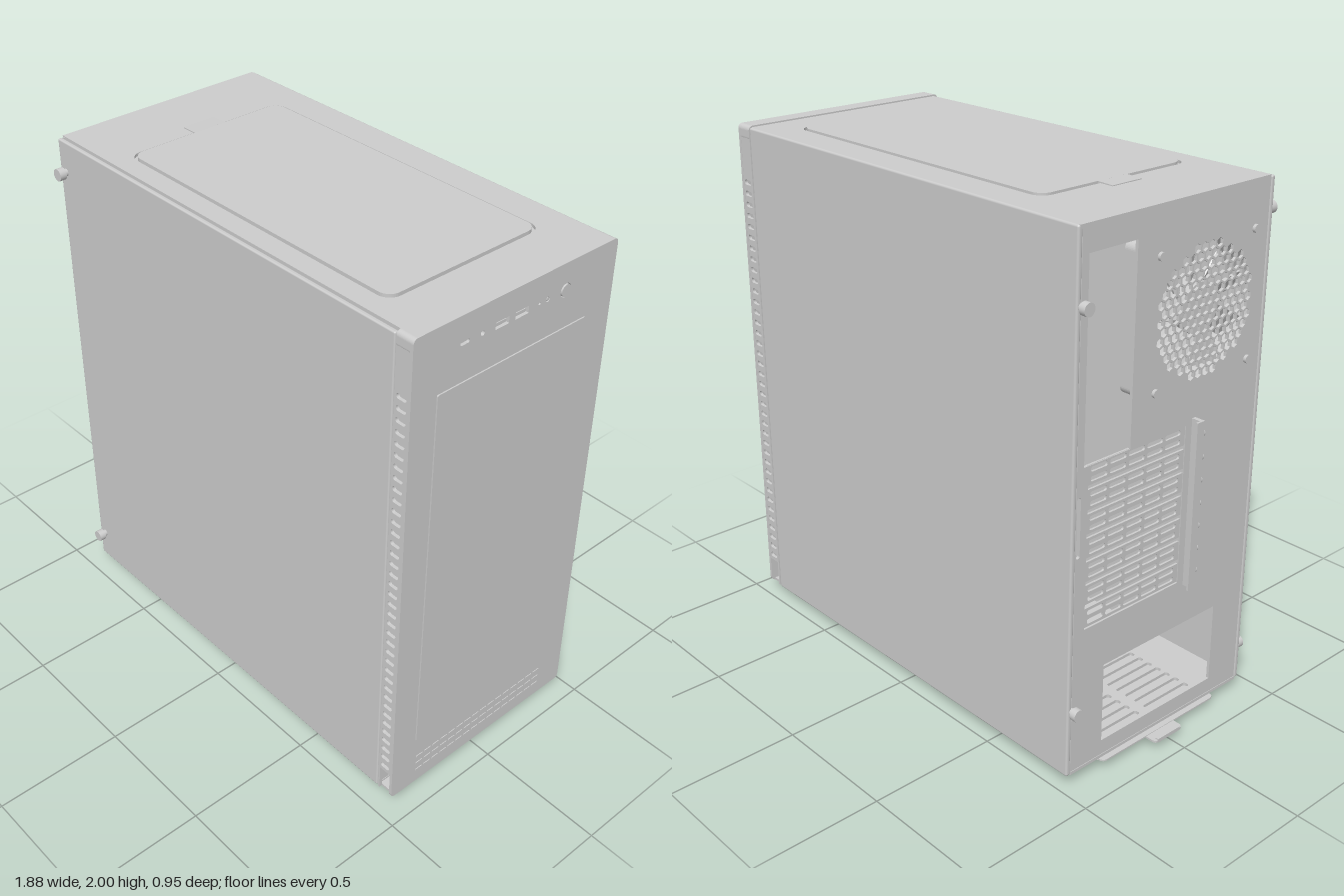
import * as THREE from 'three';
import { RoundedBoxGeometry } from 'three/addons/geometries/RoundedBoxGeometry.js';

const grey = new THREE.MeshStandardMaterial({ color: 0xcccccc });

// Rounded rectangle between two corners, as a shape or a hole
function rrect(x0, y0, x1, y1, r = 0, Type = THREE.Shape) {
  const s = new Type();
  if (r <= 0) {
    s.moveTo(x0, y0); s.lineTo(x1, y0); s.lineTo(x1, y1); s.lineTo(x0, y1); s.closePath();
    return s;
  }
  r = Math.min(r, (x1 - x0) / 2 - 1e-4, (y1 - y0) / 2 - 1e-4);
  s.absarc(x1 - r, y0 + r, r, -Math.PI / 2, 0);
  s.absarc(x1 - r, y1 - r, r, 0, Math.PI / 2);
  s.absarc(x0 + r, y1 - r, r, Math.PI / 2, Math.PI);
  s.absarc(x0 + r, y0 + r, r, Math.PI, Math.PI * 1.5);
  s.closePath();
  return s;
}
const hole = (x0, y0, x1, y1, r) => rrect(x0, y0, x1, y1, r, THREE.Path);

function disc(x, y, r, sides = 20, turn = 0, Type = THREE.Path) {
  const pts = [];
  for (let i = 0; i < sides; i++) {
    const a = turn + (i / sides) * Math.PI * 2;
    pts.push(new THREE.Vector2(x + r * Math.cos(a), y + r * Math.sin(a)));
  }
  return new Type(pts);
}

export function createModel() {
  const model = new THREE.Group();
  model.name = 'computerCase';

  const add = (name, geometry, x = 0, y = 0, z = 0, parent = model) => {
    const m = new THREE.Mesh(geometry, grey);
    m.name = name;
    m.position.set(x, y, z);
    parent.add(m);
    return m;
  };
  const box = (name, x0, x1, y0, y1, z0, z1, r = 0) => {
    const size = [x1 - x0, y1 - y0, z1 - z0];
    const g = r ? new RoundedBoxGeometry(...size, 2, r) : new THREE.BoxGeometry(...size);
    return add(name, g, (x0 + x1) / 2, (y0 + y1) / 2, (z0 + z1) / 2);
  };
  const extrude = (shape, depth) =>
    new THREE.ExtrudeGeometry(shape, { depth, bevelEnabled: false, curveSegments: 5 });
  // Plates: upright along x (shape in z,y), flat (shape in x,z), upright along z (shape in x,y)
  const plateX = (name, shape, xMax, d) => add(name, extrude(shape, d).rotateY(-Math.PI / 2), xMax);
  const plateY = (name, shape, yMax, d) => add(name, extrude(shape, d).rotateX(Math.PI / 2), 0, yMax);
  const plateZ = (name, shape, zMin, d) => add(name, extrude(shape, d), 0, 0, zMin);
  // Cylinder along a chosen axis
  const rod = (name, axis, r, len, x, y, z, sides = 20) => {
    const g = new THREE.CylinderGeometry(r, r, len, sides);
    if (axis === 'x') g.rotateZ(Math.PI / 2);
    if (axis === 'z') g.rotateX(Math.PI / 2);
    return add(name, g, x, y, z);
  };

  // Side panels and inner front wall
  box('leftSidePanel', -0.875, 0.855, 0.045, 1.99, 0.422, 0.44, 0.006);
  box('rightSidePanel', -0.875, 0.857, 0.04, 1.995, -0.47, -0.45, 0.008);
  box('chassisFrontWall', 0.843, 0.855, 0.05, 1.985, -0.45, 0.418);

  // Top with inset dust filter and its finger tab
  const top = rrect(-0.875, -0.462, 0.857, 0.418);
  top.holes.push(hole(-0.58, -0.34, 0.725, 0.34, 0.05));
  plateY('topPanel', top, 1.995, 0.012);
  box('topFilterTray', -0.66, 0.75, 1.975, 1.984, -0.37, 0.37);
  plateY('topDustFilter', rrect(-0.57, -0.33, 0.715, 0.33, 0.045), 2.0, 0.018);
  const tab = box('topFilterTab', -0.635, -0.57, 1.99, 1.999, -0.08, 0.055);
  tab.rotation.z = 0.03;

  // Floor with vent slots under the power supply
  const floor = rrect(-0.875, -0.45, 0.857, 0.422);
  for (let i = 0; i < 12; i++) {
    for (const [z0, z1] of [[-0.26, -0.02], [0.02, 0.25]]) {
      floor.holes.push(hole(-0.8 + i * 0.046, z0, -0.775 + i * 0.046, z1, 0.01));
    }
  }
  plateY('floor', floor, 0.052, 0.012);

  // Rear wall: hex fan grille, port opening, expansion slots, power supply opening
  const fanY = 1.595, fanZ = 0.125;
  const rear = rrect(-0.45, 0.045, 0.42, 1.99);
  rear.holes.push(
    hole(-0.42, 1.2, -0.21, 1.9),
    hole(-0.4, 0.6, 0.06, 1.2),
    hole(-0.3, 0.11, 0.27, 0.42),
    hole(-0.447, 0.88, -0.43, 1.1, 0.008),
  );
  const pitch = 0.036;
  for (let row = -8; row <= 8; row++) {
    for (let col = -8; col <= 8; col++) {
      const z = (col + (Math.abs(row) % 2) / 2) * pitch, y = row * pitch * 0.866;
      if (Math.hypot(z, y) < 0.236) {
        rear.holes.push(disc(fanZ + z, fanY + y, 0.0165, 6, Math.PI / 6));
      }
    }
  }
  plateX('rearWall', rear, -0.862, 0.011);

  // Rear fan with frame, hub, blades and mounting screws
  const frame = rrect(fanZ - 0.262, fanY - 0.262, fanZ + 0.262, fanY + 0.262, 0.03);
  frame.holes.push(disc(fanZ, fanY, 0.25, 40));
  plateX('fanFrame', frame, -0.75, 0.11);
  rod('fanHub', 'x', 0.09, 0.09, -0.805, fanY, fanZ, 32);
  for (let i = 0; i < 9; i++) {
    const pivot = new THREE.Group();
    pivot.name = 'fanBlade';
    pivot.position.set(-0.805, fanY, fanZ);
    pivot.rotation.x = (i / 9) * Math.PI * 2;
    const blade = add('blade', new THREE.BoxGeometry(0.006, 0.16, 0.1), 0, 0.16, 0, pivot);
    blade.rotation.y = 0.6;
    model.add(pivot);
  }
  for (const sy of [-1, 1]) {
    for (const sz of [-1, 1]) {
      rod('fanScrew', 'x', 0.015, 0.012, -0.878, fanY + sy * 0.23, fanZ + sz * 0.23, 12);
    }
  }

  // Expansion slot covers, their flange and screws
  for (let i = 0; i < 7; i++) {
    const y = 0.64 + i * 0.0875;
    const cover = rrect(-0.405, y - 0.036, 0.065, y + 0.036, 0.006);
    for (const dy of [-0.017, 0.017]) {
      for (let k = 0; k < 5; k++) {
        const z = -0.385 + k * 0.087;
        cover.holes.push(hole(z, y + dy - 0.009, z + 0.075, y + dy + 0.009, 0.007));
      }
    }
    plateX('slotCover', cover, -0.862, 0.008);
    rod('slotScrew', 'z', 0.015, 0.02, -0.89, y, 0.115, 14);
  }
  box('slotFlange', -0.915, -0.87, 0.58, 1.22, 0.09, 0.106);
  box('slotFlangeLip', -0.915, -0.907, 0.58, 1.22, 0.07, 0.106);

  // Thumb screws on the left panel and at the rear of the right panel
  for (const y of [0.17, 1.87]) {
    rod('thumbScrewNeck', 'z', 0.014, 0.02, -0.84, y, 0.445);
    rod('thumbScrewHead', 'z', 0.023, 0.026, -0.84, y, 0.466, 24);
  }
  for (const y of [0.3, 1.74]) {
    rod('thumbScrewNeck', 'x', 0.014, 0.02, -0.88, y, -0.45);
    rod('thumbScrewHead', 'x', 0.023, 0.024, -0.898, y, -0.45, 24);
  }

  // Front cover face with port openings
  const face = rrect(-0.47, 0.04, 0.44, 2.0, 0.018);
  const portY = 1.9;
  for (const [z, w, h, r] of [[0.222, 0.04, 0.014, 0.007], [0.06, 0.06, 0.026, 0.002],
    [-0.028, 0.06, 0.026, 0.002]]) {
    face.holes.push(hole(z - w / 2, portY - h / 2, z + w / 2, portY + h / 2, r));
    box('portTongue', 0.9, 0.924, portY - h / 8, portY + h / 6, z - w * 0.4, z + w * 0.4);
  }
  for (const [z, r] of [[0.146, 0.009], [-0.108, 0.005], [-0.146, 0.009], [-0.23, 0.025]]) {
    face.holes.push(disc(z, portY, r, 24));
  }
  plateX('frontFace', face, 0.93, 0.012);
  rod('powerButton', 'x', 0.022, 0.034, 0.917, portY, -0.23, 28);
  rod('resetButton', 'x', 0.006, 0.03, 0.915, portY, -0.146, 12);

  // Raised front panel and low strips beneath it
  plateX('frontInsetPanel', rrect(-0.345, 0.26, 0.33, 1.76, 0.006), 0.935, 0.006);
  for (const y of [0.1, 0.135, 0.17]) {
    for (let i = 0; i < 16; i++) {
      const z = -0.34 + i * 0.042;
      box('lowerFrontRib', 0.929, 0.933, y - 0.004, y + 0.004, z, z + 0.032);
    }
  }

  // Front cover: caps, core and slotted vent sides, open at the bottom
  plateX('frontTopCap', rrect(-0.47, 1.94, 0.44, 2.0, 0.018), 0.919, 0.059);
  box('frontBottomCap', 0.86, 0.919, 0.04, 0.05, -0.455, 0.425);
  box('frontCore', 0.858, 0.905, 0.15, 1.95, -0.445, 0.415);
  const side = rrect(0.86, 0.15, 0.919, 1.965);
  for (let i = 0; i < 38; i++) {
    const y = 0.175 + i * 0.0434;
    side.holes.push(hole(0.87, y - 0.01, 0.912, y + 0.01, 0.009));
  }
  plateZ('leftVentSide', side, 0.427, 0.012);
  plateZ('rightVentSide', side, -0.469, 0.012);
  for (const z of [0.433, -0.463]) box('ventSidePost', 0.86, 0.868, 0.045, 0.16, z - 0.006, z + 0.006);

  // Bottom dust filter with frame, ribs and pull handle
  plateY('bottomFilter', rrect(-0.895, -0.31, -0.2, 0.28, 0.02), 0.038, 0.006);
  const rim = rrect(-0.875, -0.31, -0.2, 0.28, 0.02);
  for (let i = 0; i < 5; i++) {
    const z = -0.295 + i * 0.1135;
    rim.holes.push(hole(-0.85, z, -0.22, z + 0.106, 0.004));
  }
  plateY('bottomFilterRibs', rim, 0.033, 0.007);
  plateY('bottomFilterHandle', rrect(-0.94, -0.09, -0.86, 0.055, 0.015), 0.036, 0.008);
  box('handleLip', -0.94, -0.928, 0.026, 0.04, -0.075, 0.04);

  // Four feet, each a wide base with a recessed rubber ring
  for (const x of [-0.717, 0.745]) {
    for (const z of [0.338, -0.36]) {
      plateY('footBase', rrect(x - 0.098, z - 0.05, x + 0.098, z + 0.05, 0.04), 0.042, 0.024);
      const pad = rrect(x - 0.085, z - 0.04, x + 0.085, z + 0.04, 0.034);
      pad.holes.push(hole(x - 0.066, z - 0.022, x + 0.066, z + 0.022, 0.02));
      plateY('footPad', pad, 0.02, 0.02);
    }
  }
  return model;
}
